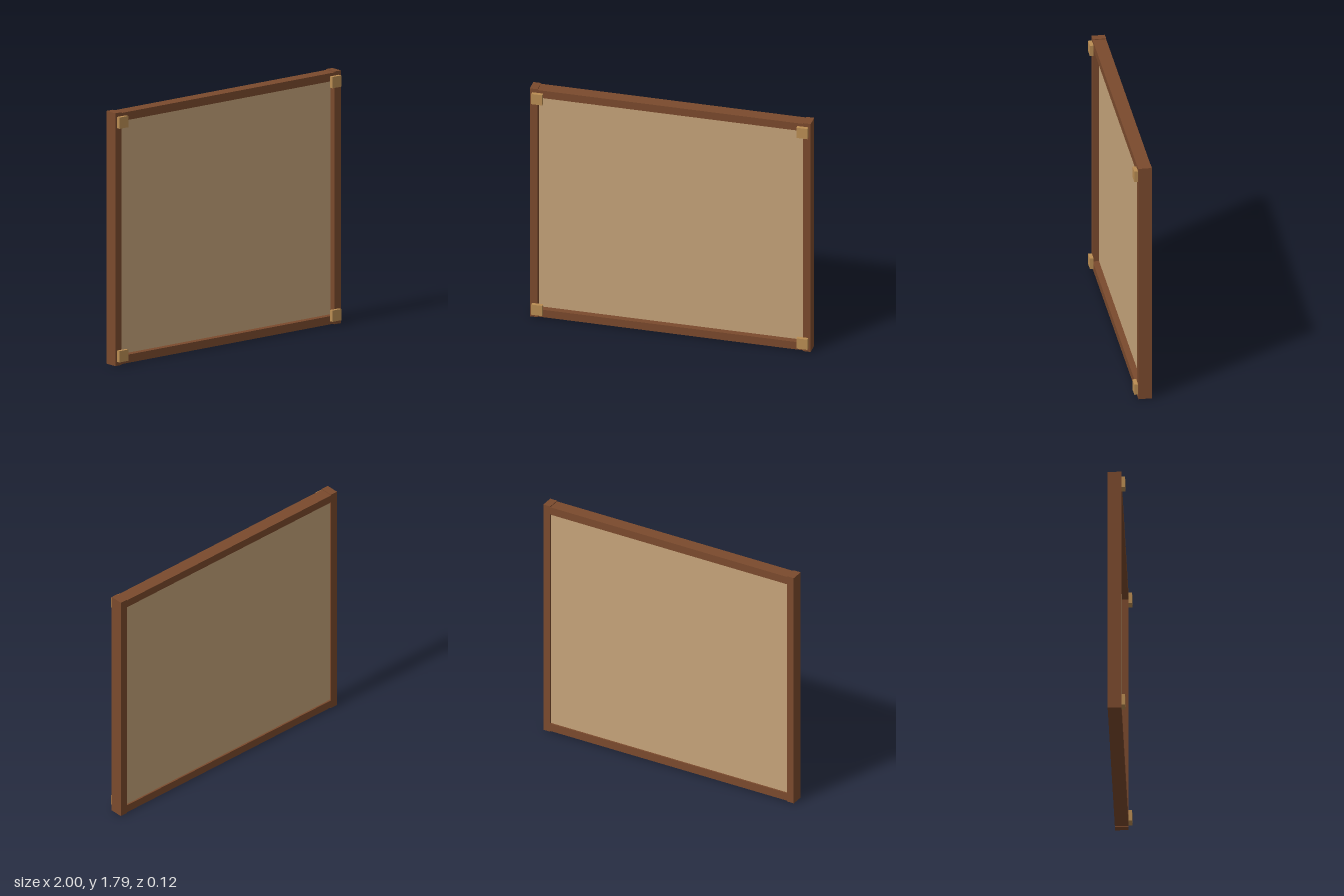
import * as THREE from 'three';

export function createModel() {
  const model = new THREE.Group();
  model.name = 'framedBoard';

  const wood = new THREE.MeshStandardMaterial({ name: 'dark wood', color: 0x7b4a2d });
  const cork = new THREE.MeshStandardMaterial({ name: 'cork', color: 0xc6a47a });
  const brass = new THREE.MeshStandardMaterial({ name: 'brass', color: 0xba8d53 });

  // Box given by its lower and upper limits on each axis
  const addBox = (name, material, [x0, x1], [y0, y1], [z0, z1]) => {
    const mesh = new THREE.Mesh(new THREE.BoxGeometry(x1 - x0, y1 - y0, z1 - z0), material);
    mesh.position.set((x0 + x1) / 2, (y0 + y1) / 2, (z0 + z1) / 2);
    mesh.name = name;
    model.add(mesh);
  };

  const H = 1.79;
  const depth = [-0.06, 0.034];

  // Board set back inside the frame
  addBox('panel', cork, [-0.945, 0.945], [0.06, H - 0.06], [-0.048, -0.01]);

  // Rails sit slightly inside the ends of the posts
  addBox('bottomRail', wood, [-0.945, 0.945], [0.006, 0.064], depth);
  addBox('topRail', wood, [-0.945, 0.945], [H - 0.064, H - 0.006], depth);

  // Posts and corner blocks, mirrored
  for (const [side, s] of [['left', 1], ['right', -1]]) {
    const span = (a, b) => (s > 0 ? [a, b] : [-b, -a]);
    addBox(`${side}Post`, wood, span(0.945, 1), [0, H], depth);
    addBox(`${side}BottomCorner`, brass, span(0.905, 0.983), [0.028, 0.108], [0.034, 0.06]);
    addBox(`${side}TopCorner`, brass, span(0.905, 0.983), [H - 0.108, H - 0.028], [0.034, 0.06]);
  }

  return model;
}
